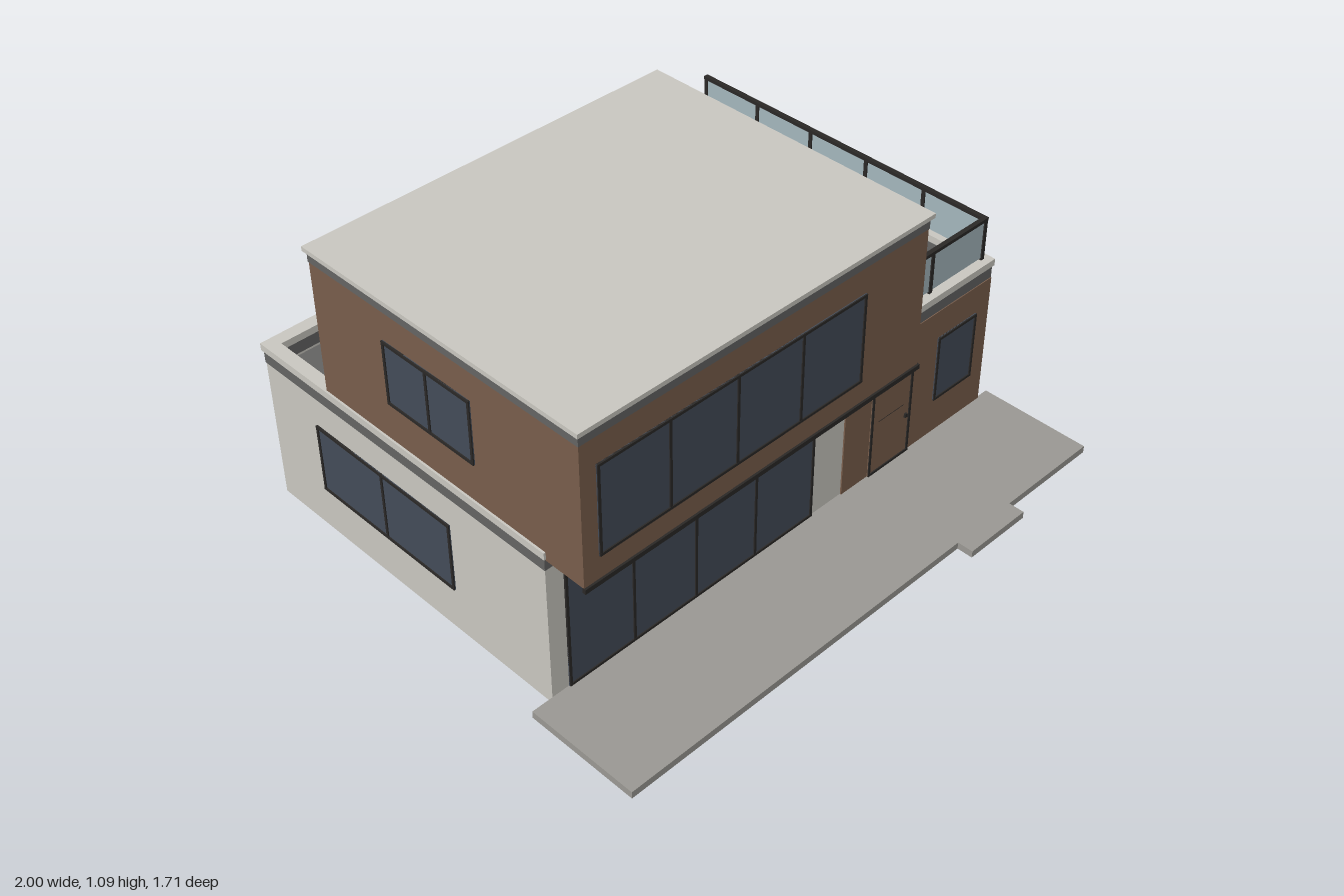
import * as THREE from 'three';

const paint = (name, color) => {
  const m = new THREE.MeshStandardMaterial({ color });
  m.name = name;
  return m;
};

export function createModel() {
  const house = new THREE.Group();
  house.name = 'house';
  const render = paint('cream render', 0xc8c6bf);
  const wood = paint('brown cladding', 0x785d4b);
  const slate = paint('slate grey', 0x636362);
  const paving = paint('paving', 0x999792);
  const pane = paint('window glass', 0x434b58);
  const dark = paint('dark frame', 0x2a2826);
  const railGlass = paint('railing glass', 0xa3b5bc);

  // Box given by its lower and upper corners
  const box = (name, mat, x0, x1, y0, y1, z0, z1, parent = house) => {
    const mesh = new THREE.Mesh(new THREE.BoxGeometry(x1 - x0, y1 - y0, z1 - z0), mat);
    mesh.position.set((x0 + x1) / 2, (y0 + y1) / 2, (z0 + z1) / 2);
    mesh.name = name;
    parent.add(mesh);
    return mesh;
  };

  // Rectangular ring made of four bars
  const ring = (name, mat, x0, x1, y0, y1, z0, z1, t) => {
    const g = new THREE.Group();
    g.name = name;
    box(name + 'Back', mat, x0, x1, y0, y1, z0, z0 + t, g);
    box(name + 'Front', mat, x0, x1, y0, y1, z1 - t, z1, g);
    box(name + 'Right', mat, x0, x0 + t, y0, y1, z0 + t, z1 - t, g);
    box(name + 'Left', mat, x1 - t, x1, y0, y1, z0 + t, z1 - t, g);
    house.add(g);
  };

  // Framed opening on a wall: side is the wall direction, d its plane, a..b the span along it
  const turns = { front: 0, left: Math.PI / 2, back: Math.PI, right: -Math.PI / 2 };
  const opening = (name, side, d, a, b, y0, y1, panes, fill = pane) => {
    const g = new THREE.Group();
    g.name = name;
    const w = Math.abs(b - a), c = (a + b) / 2, f = 0.009;
    if (side === 'front' || side === 'back') g.position.set(c, 0, d);
    else g.position.set(d, 0, c);
    g.rotation.y = turns[side];
    box('pane', fill, -w / 2, w / 2, y0, y1, -0.003, 0.003, g);
    box('headFrame', dark, -w / 2, w / 2, y1 - f, y1, -0.003, 0.007, g);
    box('sillFrame', dark, -w / 2, w / 2, y0, y0 + f, -0.003, 0.007, g);
    for (let i = 0; i <= panes; i++) {
      const x = -w / 2 + f / 2 + (i * (w - f)) / panes;
      box('mullion', dark, x - f / 2, x + f / 2, y0, y1, -0.003, 0.0065, g);
    }
    house.add(g);
    return g;
  };

  // Paving in front and the entrance step
  box('patio', paving, -1, 1, 0, 0.025, 0.4, 0.8);
  box('entranceStep', paving, 0.365, 0.615, 0, 0.025, 0.8, 0.855);

  // Ground floor
  box('groundFloor', render, -0.925, 0.95, 0.001, 0.505, -0.85, 0.4);
  box('floorSlab', paving, -0.9, 0.948, 0, 0.01, -0.848, 0.37);
  box('entranceCladding', wood, 0.275, 0.951, 0.025, 0.515, 0.39, 0.405);

  // Parapet with cap, roof and terrace deck
  ring('parapet', slate, -0.927, 0.952, 0.515, 0.56, -0.852, 0.402, 0.035);
  ring('parapetBase', render, -0.925, 0.95, 0.505, 0.515, -0.85, 0.4, 0.033);
  ring('parapetCap', render, -0.932, 0.957, 0.56, 0.585, -0.858, 0.407, 0.045);
  box('flatRoof', slate, -0.895, 0.41, 0.5, 0.508, -0.82, 0.365);
  box('terraceDeck', wood, 0.405, 0.92, 0.5, 0.515, -0.82, 0.365);

  // Upper floor
  box('upperFloorBase', wood, -0.89, 0.405, 0.5, 0.56, -0.54, 0.365);
  box('upperFloor', wood, -0.925, 0.405, 0.555, 1.04, -0.54, 0.555);
  box('upperBand', slate, -0.927, 0.407, 1.04, 1.075, -0.542, 0.557);
  box('upperRoof', render, -0.935, 0.418, 1.075, 1.09, -0.552, 0.565);
  box('overhangTrim', dark, -0.927, 0.41, 0.54, 0.556, 0.55, 0.562);

  // Windows and glazed doors
  opening('livingRoomGlazing', 'front', 0.4, -0.862, 0.138, 0.025, 0.465, 4);
  opening('entranceWindow', 'front', 0.405, 0.7, 0.886, 0.16, 0.41, 1);
  opening('upperFrontWindow', 'front', 0.555, -0.87, 0.147, 0.637, 0.95, 4);
  opening('leftWindow', 'left', 0.95, -0.46, 0.007, 0.16, 0.41, 2);
  opening('terraceDoor', 'left', 0.405, -0.055, 0.242, 0.517, 0.947, 2);
  opening('backDoor', 'back', -0.85, 0.085, 0.7, 0.025, 0.465, 3);
  opening('backWindow', 'back', -0.85, -0.69, -0.22, 0.19, 0.41, 3);
  opening('upperBackWindow', 'back', -0.54, -0.35, 0.12, 0.69, 0.91, 3);
  opening('rightWindow', 'right', -0.925, -0.617, -0.005, 0.16, 0.41, 2);
  opening('upperRightWindow', 'right', -0.925, -0.23, 0.135, 0.72, 0.94, 2);

  // Entrance door
  const door = opening('entranceDoor', 'front', 0.405, 0.395, 0.585, 0.025, 0.44, 1, wood);
  box('doorLintel', dark, -0.1, 0.1, 0.434, 0.446, 0, 0.01, door);
  box('doorHandle', dark, 0.066, 0.076, 0.175, 0.19, 0, 0.01, door);
  box('doorGroove', dark, -0.06, 0.06, 0.229, 0.231, 0, 0.0035, door);

  // Terrace railing
  const railing = new THREE.Group();
  railing.name = 'terraceRailing';
  house.add(railing);
  const post = (x, z) => box('railPost', dark, x - 0.007, x + 0.007, 0.585, 0.74, z - 0.007, z + 0.007, railing);
  const rx = 0.925, rz = 0.375;
  for (let i = 0; i <= 5; i++) post(rx, rz - i * 0.2415);
  for (let i = 0; i < 2; i++) post(0.42 + i * 0.2525, rz);
  box('sideRail', dark, rx - 0.008, rx + 0.008, 0.73, 0.742, -0.84, rz + 0.008, railing);
  box('frontRail', dark, 0.413, rx - 0.008, 0.73, 0.742, rz - 0.008, rz + 0.008, railing);
  box('sideGlass', railGlass, rx - 0.003, rx + 0.003, 0.598, 0.73, -0.83, rz, railing);
  box('frontGlass', railGlass, 0.42, rx, 0.592, 0.73, rz - 0.003, rz + 0.003, railing);

  return house;
}
